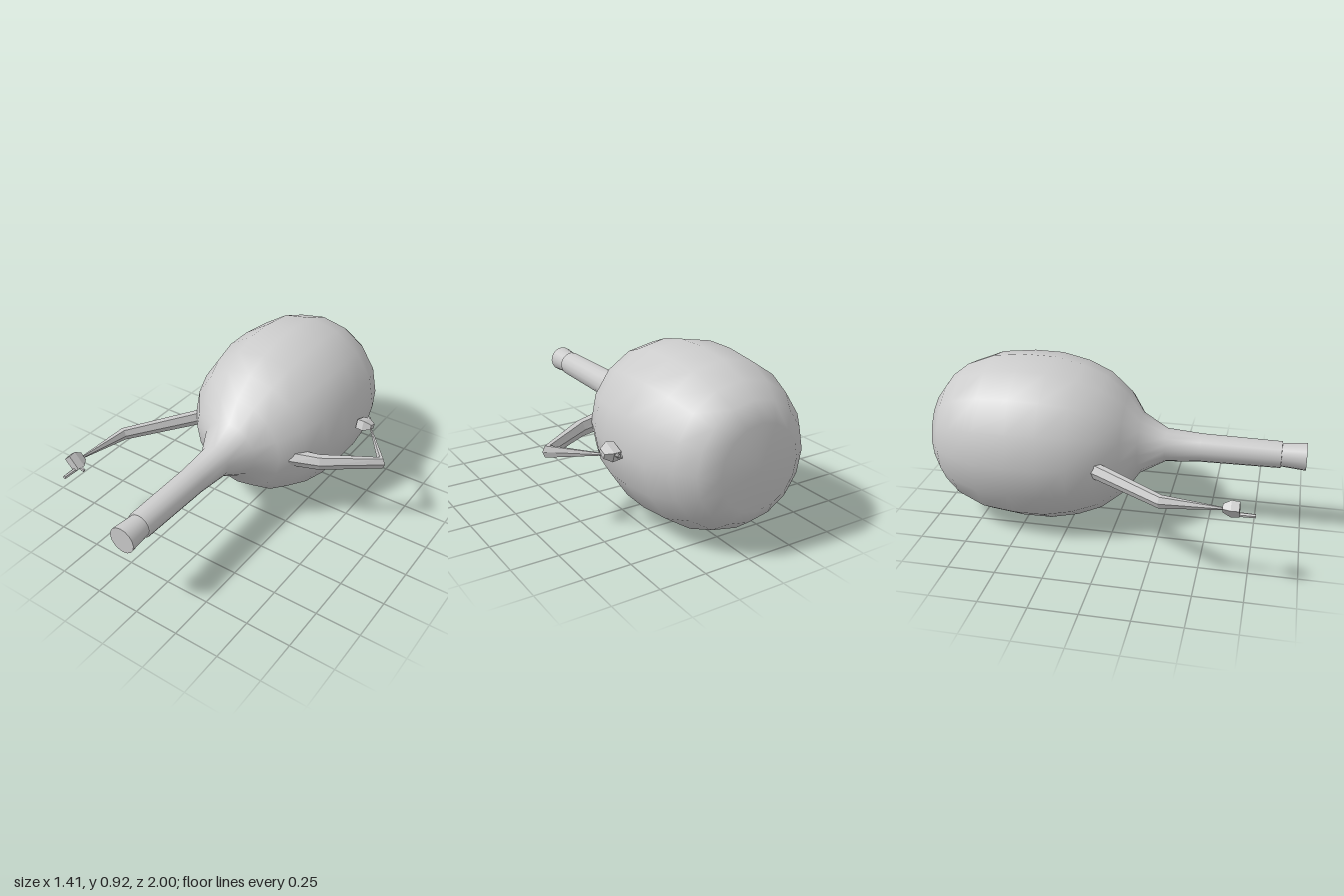
import * as THREE from 'three';

const smooth = new THREE.MeshStandardMaterial({ color: 0xcccccc });
const faceted = new THREE.MeshStandardMaterial({ color: 0xcccccc, flatShading: true, side: THREE.DoubleSide });

function add(parent, name, geometry, material) {
  const mesh = new THREE.Mesh(geometry, material);
  mesh.name = name;
  parent.add(mesh);
  return mesh;
}

// Turned shape lying along z, from [radius, z] pairs
function turned(profile) {
  const points = profile.map(([r, z]) => new THREE.Vector2(r, z));
  return new THREE.LatheGeometry(points, 16).rotateX(Math.PI / 2).translate(-0.045, 0.464, 0);
}

// Six-sided limb through stations [x, y, z, halfWidth, halfHeight]
function limb(stations) {
  const section = [[1, 0], [0.5, 1], [-0.5, 1], [-1, 0], [-0.5, -1], [0.5, -1]];
  const positions = [], index = [];
  const n = section.length, last = stations.length - 1;
  stations.forEach(([x, y, z, w, h], i) => {
    const a = stations[Math.max(i - 1, 0)], b = stations[Math.min(i + 1, last)];
    const across = new THREE.Vector2(b[2] - a[2], a[0] - b[0]).normalize();
    for (const [u, v] of section) positions.push(x + across.x * u * w, y + v * h, z + across.y * u * w);
    if (i === last) return;
    for (let k = 0; k < n; k++) {
      const p = i * n + k, q = i * n + (k + 1) % n;
      index.push(p, q, p + n, q, q + n, p + n);
    }
  });
  const geometry = new THREE.BufferGeometry();
  geometry.setAttribute('position', new THREE.Float32BufferAttribute(positions, 3));
  geometry.setIndex(index);
  geometry.computeVertexNormals();
  return geometry;
}

// Fist reaching along +z from the wrist, with a thumb and a pointing finger on one side
function hand(name, side) {
  const group = new THREE.Group();
  group.name = name;
  const palm = new THREE.BoxGeometry(0.09, 0.055, 0.08, 1, 1, 2).translate(0, 0, 0.04);
  const p = palm.attributes.position;
  for (let i = 0; i < p.count; i++) {
    const z = p.getZ(i);
    const s = z < 0.01 ? 0.5 : z < 0.06 ? 1 : 0.92;
    p.setXY(i, p.getX(i) * s, p.getY(i) * s);
  }
  add(group, 'palm', palm, faceted);
  const finger = add(group, 'finger', new THREE.CylinderGeometry(0.01, 0.012, 0.09, 6), faceted);
  finger.rotation.x = Math.PI / 2;
  finger.position.set(side * 0.035, -0.012, 0.11);
  const thumb = add(group, 'thumb', new THREE.CylinderGeometry(0.009, 0.012, 0.045, 6), faceted);
  thumb.rotation.z = -side * 1.1;
  thumb.position.set(side * 0.045, 0.014, 0.055);
  return group;
}

export function createModel() {
  const model = new THREE.Group();
  model.name = 'bottleWithArms';

  // Bottle from its base to the mouth of the neck
  add(model, 'bottle', turned([
    [0, -1], [0.22, -0.995], [0.31, -0.93], [0.38, -0.84], [0.44, -0.69], [0.459, -0.51],
    [0.457, -0.35], [0.425, -0.2], [0.372, -0.07], [0.275, 0.05], [0.165, 0.125],
    [0.09, 0.26], [0.076, 0.45], [0.071, 0.87], [0.06, 0.872],
  ]), smooth);

  // Flared stopper
  add(model, 'stopper', turned([[0.061, 0.85], [0.063, 0.88], [0.073, 1]]), smooth);
  add(model, 'stopperEnd', turned([[0.073, 1], [0, 1]]), smooth);

  // Right arm reaches forward
  add(model, 'rightArm', limb([
    [-0.36, 0.442, -0.1, 0.036, 0.04], [-0.40, 0.442, -0.03, 0.034, 0.038],
    [-0.632, 0.442, 0.32, 0.028, 0.031], [-0.66, 0.455, 0.63, 0.005, 0.006],
  ]), faceted);
  const rightHand = hand('rightHand', 1);
  rightHand.position.set(-0.66, 0.458, 0.62);
  rightHand.rotation.z = -0.85;
  model.add(rightHand);

  // Left arm bends back, hand resting on the bottle
  add(model, 'leftArm', limb([
    [0.25, 0.442, -0.03, 0.042, 0.042], [0.40, 0.44, -0.08, 0.034, 0.039],
    [0.675, 0.44, -0.262, 0.026, 0.031], [0.495, 0.465, -0.48, 0.005, 0.006],
  ]), faceted);
  const leftHand = hand('leftHand', -1);
  leftHand.position.set(0.5, 0.472, -0.488);
  leftHand.rotation.set(0, -Math.PI / 2, 0.35, 'YXZ');
  model.add(leftHand);

  return model;
}
